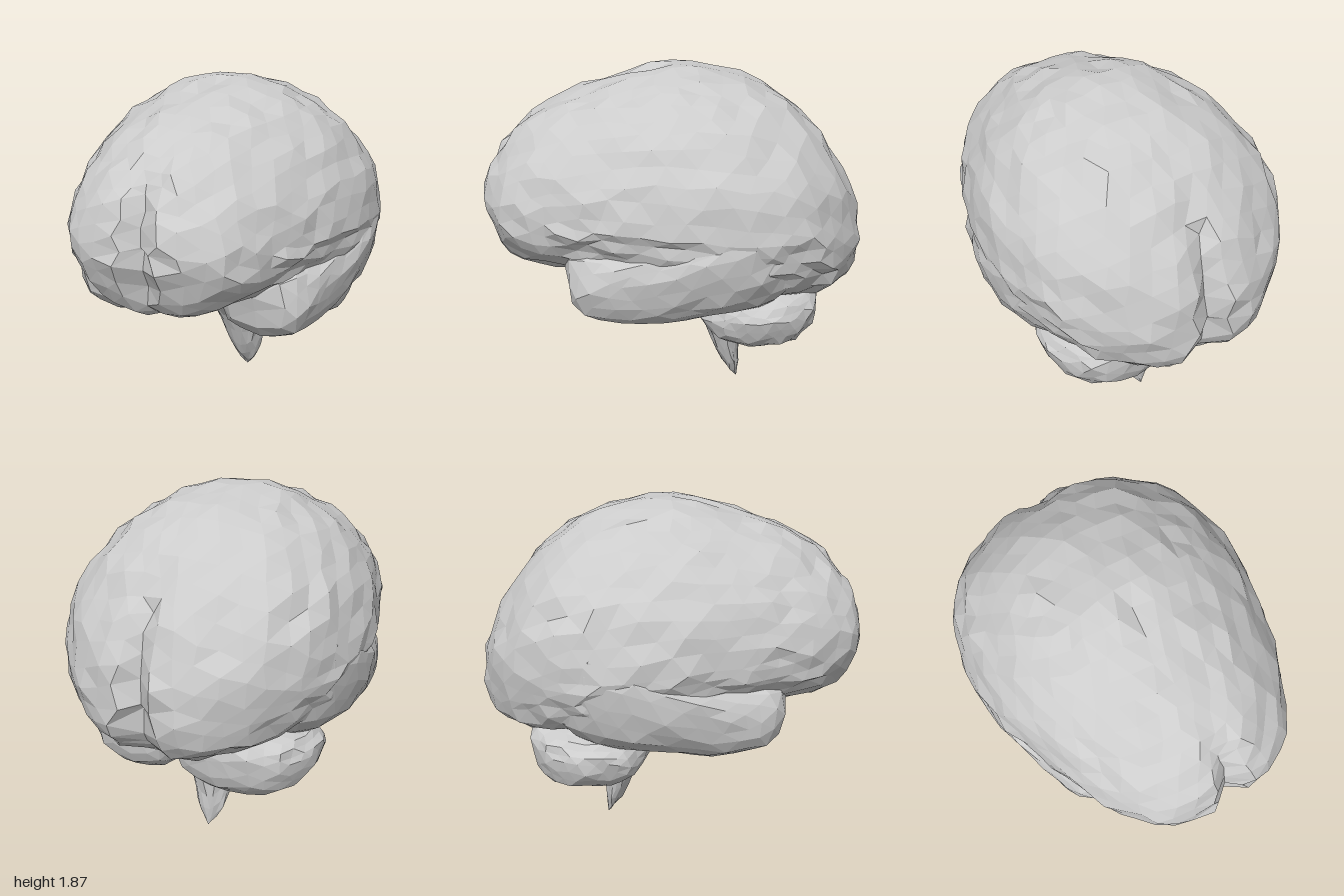
import * as THREE from 'three';
import { mergeVertices } from 'three/addons/utils/BufferGeometryUtils.js';

const material = new THREE.MeshStandardMaterial({ color: 0xcccccc, flatShading: true });
const { lerp, clamp } = THREE.MathUtils;

// Repeatable value in -1..1 for the faceted irregularity
function noise(i, k) {
  const s = Math.sin(i * 12.9898 + k * 78.233) * 43758.5453;
  return (s - Math.floor(s)) * 2 - 1;
}

// Interpolated row of a table sorted by falling first column
function rowAt(table, z) {
  const i = clamp(table.findIndex((row) => row[0] <= z), 1, table.length - 1);
  const a = table[i - 1], b = table[i];
  const t = clamp((a[0] - z) / (a[0] - b[0]), 0, 1);
  return a.map((v, c) => lerp(v, b[c], t));
}

// Evenly faceted ball whose vertices are moved by a rule, then roughened
function blob(name, detail, rough, rule) {
  const ball = new THREE.IcosahedronGeometry(1, detail);
  ball.deleteAttribute('normal');
  ball.deleteAttribute('uv');
  const geo = mergeVertices(ball, 1e-4);
  const pos = geo.attributes.position;
  const v = new THREE.Vector3();
  for (let i = 0; i < pos.count; i++) {
    v.fromBufferAttribute(pos, i);
    const angle = Math.atan2(v.x, v.y);
    const [x, y, z] = rule(Math.sin(angle), Math.cos(angle), clamp(v.z, -1, 1));
    pos.setXYZ(i, x + rough * noise(i, 1), y + rough * noise(i, 2), z + rough * noise(i, 3));
  }
  const flat = geo.toNonIndexed();
  flat.computeVertexNormals();
  const mesh = new THREE.Mesh(flat, material);
  mesh.name = name;
  return mesh;
}

const power = (v, e) => Math.sign(v) * Math.abs(v) ** e;

// Cerebrum: z, half width, top, widest height, bottom
const CEREBRUM = [
  [1, 0, 1.22, 1.22, 1.22], [0.985, 0.18, 1.31, 1.2, 1.12], [0.95, 0.3, 1.39, 1.2, 1.03],
  [0.88, 0.4, 1.49, 1.2, 0.88], [0.76, 0.5, 1.61, 1.18, 0.83], [0.62, 0.57, 1.69, 1.18, 0.82],
  [0.48, 0.63, 1.75, 1.18, 0.82], [0.33, 0.68, 1.8, 1.18, 0.8], [0.17, 0.73, 1.84, 1.17, 0.77],
  [0.03, 0.765, 1.87, 1.16, 0.74], [-0.12, 0.775, 1.86, 1.15, 0.7], [-0.26, 0.775, 1.84, 1.14, 0.68],
  [-0.4, 0.76, 1.8, 1.12, 0.68], [-0.54, 0.715, 1.74, 1.1, 0.68], [-0.66, 0.65, 1.64, 1.08, 0.67],
  [-0.77, 0.56, 1.52, 1.05, 0.67], [-0.86, 0.46, 1.38, 1.02, 0.69], [-0.93, 0.35, 1.25, 0.99, 0.73],
  [-0.985, 0.19, 1.1, 0.96, 0.82], [-1, 0, 0.96, 0.96, 0.96],
];

function cerebrum() {
  return blob('cerebrum', 8, 0.015, (s, c, u) => {
    const [z, w, top, mid, bottom] = rowAt(CEREBRUM, u);
    // The underside grows squarer from the forehead to the back
    const square = lerp(1, 0.65, clamp((0.6 - z) / 0.5, 0, 1));
    const x = w * power(s, c > 0 ? 1.1 : square);
    let y = mid + c * (c > 0 ? top - mid : mid - bottom);
    // The long fissure dips along the midline, deepest at both poles
    const groove = Math.exp(-((x / 0.06) ** 2));
    if (c > 0) y -= 0.015 * groove;
    const dz = Math.sign(z) * groove * 0.09 * clamp((Math.abs(z) - 0.7) / 0.3, 0, 1);
    return [x, y, z * 1.012 - dz];
  });
}

// Paired lobes: z, centre x, half width, top, widest height, bottom
const TEMPORAL = [
  [0.58, 0.41, 0, 0.89, 0.89, 0.89], [0.565, 0.41, 0.17, 1.02, 0.88, 0.77],
  [0.49, 0.41, 0.23, 1.06, 0.87, 0.67], [0.25, 0.42, 0.28, 1.11, 0.91, 0.61],
  [0.05, 0.44, 0.32, 1.19, 0.98, 0.65], [-0.15, 0.46, 0.33, 1.29, 1.06, 0.68],
  [-0.35, 0.46, 0.315, 1.36, 1.11, 0.7], [-0.52, 0.44, 0.25, 1.32, 1.1, 0.74],
  [-0.62, 0.42, 0, 1.08, 1.08, 1.08],
];

const CEREBELLUM = [
  [-0.09, 0.32, 0, 0.63, 0.63, 0.63], [-0.12, 0.32, 0.17, 0.7, 0.63, 0.56],
  [-0.2, 0.33, 0.29, 0.75, 0.64, 0.48], [-0.32, 0.33, 0.335, 0.78, 0.65, 0.43],
  [-0.47, 0.33, 0.335, 0.79, 0.65, 0.43], [-0.6, 0.3, 0.31, 0.79, 0.65, 0.43],
  [-0.69, 0.27, 0.25, 0.78, 0.66, 0.48], [-0.73, 0.25, 0.18, 0.76, 0.67, 0.55],
  [-0.75, 0.25, 0, 0.67, 0.67, 0.67],
];

function lobe(name, spread, table) {
  const front = table[0][0], back = table[table.length - 1][0];
  return blob(name, 4, 0.01, (s, c, u) => {
    const [z, cx, w, top, mid, bottom] = rowAt(table, lerp(back, front, (u + 1) / 2));
    const k = power(c, 0.9);
    const y = mid + k * (k > 0 ? top - mid : mid - bottom);
    return [spread * cx + Math.abs(spread) * w * power(s, 0.85), y, z];
  });
}

// Brainstem: y, half width, front z, back z
const STEM = [
  [0.8, 0, -0.12, -0.12], [0.77, 0.19, 0.07, -0.35], [0.68, 0.23, 0.06, -0.4],
  [0.6, 0.24, 0.0, -0.42], [0.5, 0.21, -0.08, -0.42], [0.4, 0.165, -0.17, -0.41],
  [0.3, 0.125, -0.21, -0.39], [0.2, 0.105, -0.25, -0.385], [0.1, 0.075, -0.3, -0.38],
  [0, 0, -0.375, -0.375],
];

function brainstem() {
  // The ball's axis is turned upright, so its length runs along y
  return blob('brainstem', 3, 0.007, (s, c, u) => {
    const [y, w, front, back] = rowAt(STEM, 0.4 + 0.4 * u);
    return [w * s - 0.01, y, (front + back) / 2 - (c * (front - back)) / 2];
  });
}

export function createModel() {
  const model = new THREE.Group();
  model.name = 'brain';
  model.add(cerebrum(), brainstem());
  // The left cerebellum is a little narrower than the right
  model.add(
    lobe('leftTemporalLobe', 1, TEMPORAL),
    lobe('rightTemporalLobe', -1, TEMPORAL),
    lobe('leftCerebellum', 0.92, CEREBELLUM),
    lobe('rightCerebellum', -1.01, CEREBELLUM),
  );
  return model;
}
